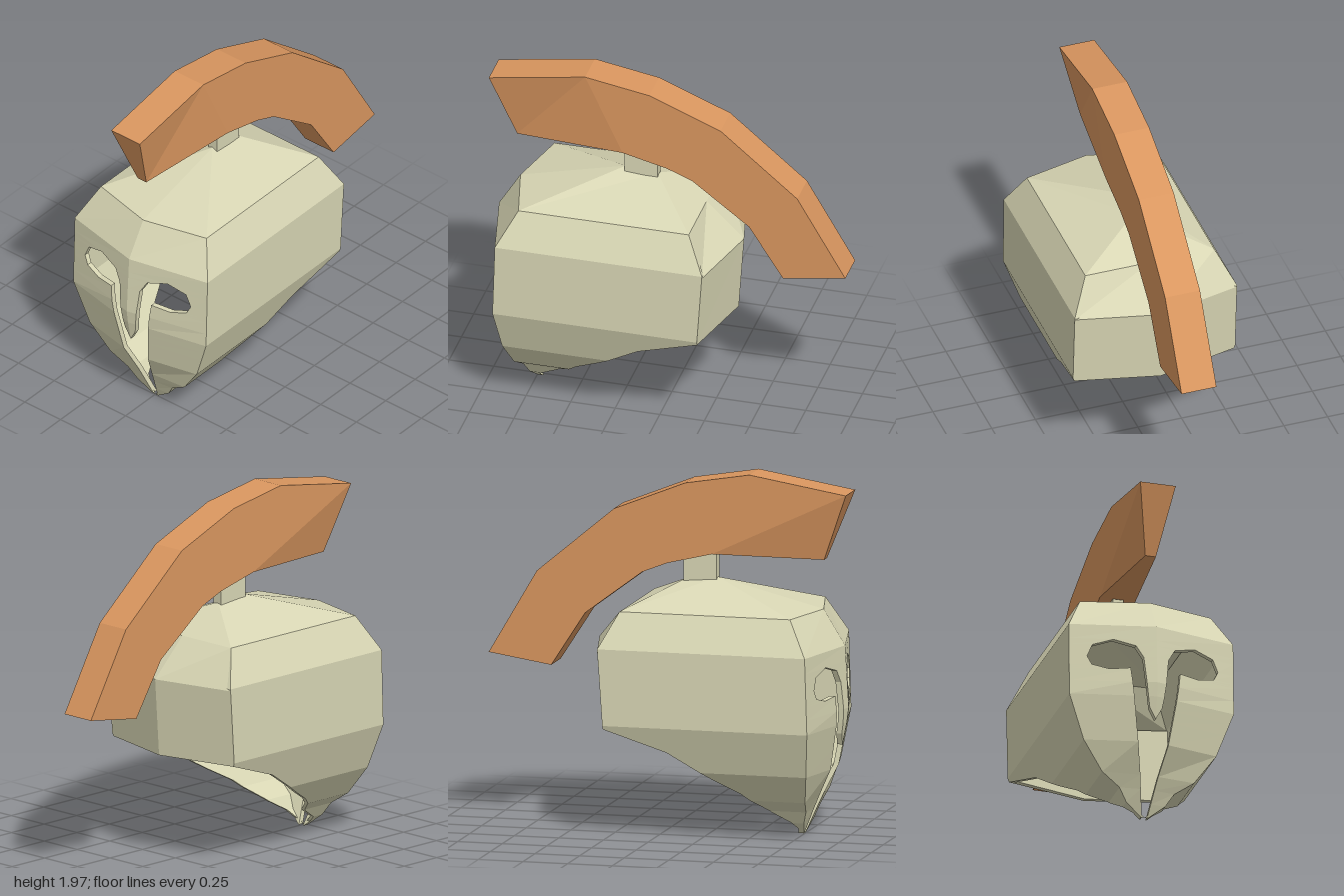
import * as THREE from 'three';

const shellMat = new THREE.MeshStandardMaterial({ color: 0xd8d6b4, flatShading: true, side: THREE.DoubleSide });
const crestMat = new THREE.MeshStandardMaterial({ color: 0xd9965f, flatShading: true, side: THREE.DoubleSide });

// Piecewise linear lookup over [y, value] pairs sorted by rising y
function lookup(table, y) {
  if (y <= table[0][0]) return table[0][1];
  for (let i = 1; i < table.length; i++) {
    const [y0, a] = table[i - 1], [y1, b] = table[i];
    if (y <= y1) return a + (b - a) * (y - y0) / (y1 - y0);
  }
  return table[table.length - 1][1];
}

// Gathers triangles; mirrored quads keep their outward winding
class Faces {
  constructor() { this.pos = []; }
  tri(a, b, c) {
    const [A, B, C] = [a, b, c].map(p => new THREE.Vector3(...p));
    if (B.sub(A).cross(C.sub(A)).length() > 1e-7) this.pos.push(...a, ...b, ...c);
  }
  quad(a, b, c, d) { this.tri(a, b, c); this.tri(a, c, d); }
  both(a, b, c, d = a) {
    this.quad(a, b, c, d);
    const m = p => [-p[0], p[1], p[2]];
    this.quad(m(d), m(c), m(b), m(a));
  }
  mesh(name, mat) {
    const g = new THREE.BufferGeometry();
    g.setAttribute('position', new THREE.Float32BufferAttribute(this.pos, 3));
    g.computeVertexNormals();
    const mesh = new THREE.Mesh(g, mat);
    mesh.name = name;
    return mesh;
  }
}

// Helmet section by height: half width, front z on the centre line, front z at the corner
const halfWidth = [[0, 0.02], [0.07, 0.11], [0.14, 0.155], [0.21, 0.26], [0.37, 0.375], [0.62, 0.465], [1.04, 0.465], [1.235, 0.37]];
const centreZ = [[0, 0.745], [0.21, 0.84], [0.37, 0.93], [0.62, 0.98], [0.7, 0.99], [1.04, 0.97], [1.235, 0.85]];
const cornerZ = [[0, 0.745], [0.21, 0.815], [0.37, 0.85], [0.62, 0.88], [1.04, 0.867], [1.235, 0.76]];
const rows = [...halfWidth, ...centreZ].map(r => r[0]);

// Slices a flat outline at every level and bends it into a thick mirrored sheet
function sheet(name, outline, outer, inner) {
  const f = new Faces();
  const levels = [...new Set([...rows, ...outline.map(p => p[1])])].sort((a, b) => a - b);
  const edges = outline.map((p, i) => [p, outline[(i + 1) % outline.length]]);
  for (let k = 0; k < levels.length - 1; k++) {
    const lo = levels[k], hi = levels[k + 1], mid = (lo + hi) / 2;
    const at = ([p, q], y) => p[0] + (q[0] - p[0]) * (y - p[1]) / (q[1] - p[1]);
    const cross = edges.filter(([p, q]) => (p[1] < mid) !== (q[1] < mid))
      .sort((e, g) => at(e, mid) - at(g, mid));
    for (let i = 0; i + 1 < cross.length; i += 2) {
      const c = [[at(cross[i], lo), lo], [at(cross[i + 1], lo), lo],
        [at(cross[i + 1], hi), hi], [at(cross[i], hi), hi]];
      const o = c.map(p => outer(...p)), n = c.map(p => inner(...p));
      f.both(...o);
      f.both(n[3], n[2], n[1], n[0]);
      f.both(o[0], o[3], n[3], n[0]);
      f.both(o[1], n[1], n[2], o[2]);
    }
  }
  return f.mesh(name, shellMat);
}

function makeFace() {
  // Half outline: nose guard, eye opening, cheek edge, outer corner
  const outline = [
    [0, 1.235], [0, 0.495], [0.035, 0.56], [0.045, 0.62], [0.055, 0.7], [0.07, 0.85], [0.11, 0.92], [0.23, 0.955],
    [0.34, 0.92], [0.37, 0.85], [0.345, 0.8], [0.25, 0.775], [0.14, 0.785], [0.13, 0.7], [0.12, 0.62],
    [0.085, 0.37], [0.05, 0.21], [0.015, 0], [0.02, 0], [0.11, 0.07], [0.155, 0.14], [0.26, 0.21],
    [0.375, 0.37], [0.465, 0.62], [0.465, 1.04], [0.37, 1.235]
  ];
  const z = (x, y) => {
    const c = lookup(centreZ, y);
    return c - (c - lookup(cornerZ, y)) * x / lookup(halfWidth, y);
  };
  return sheet('faceGuard', outline, (x, y) => [x, y, z(x, y)], (x, y) => [x, y, z(x, y) - 0.03]);
}

function makeSides() {
  // Outline in (-z, y) with the lower edge sweeping back from the cheek tip
  const outline = [
    ...cornerZ.map(([y, z]) => [z, y]).reverse(),
    [0.7, 0.07], [0.6, 0.13], [0.46, 0.25], [0.32, 0.33], [0.08, 0.48], [-0.265, 0.6],
    [-0.295, 1.04], [-0.195, 1.235]
  ].map(([z, y]) => [-z, y]);
  return sheet('cheekSides', outline,
    (u, y) => [lookup(halfWidth, y), y, -u],
    (u, y) => [Math.max(0, lookup(halfWidth, y) - 0.025), y, -u]);
}

function makeRoof() {
  const f = new Faces();
  const front = [0, 1.235, 0.85], corner = [0.37, 1.235, 0.76], rear = [0.37, 1.235, -0.195];
  const peakF = [0, 1.385, 0.26], peakB = [0, 1.37, 0.08], back = [0, 1.235, -0.195];
  f.both(front, corner, peakF);
  f.both(corner, rear, peakB, peakF);
  f.both(rear, back, peakB);
  return f.mesh('roof', shellMat);
}

function makeBack() {
  const f = new Faces();
  // Rows of [y, half width, corner z, centre z]
  const r = [[0.6, 0.458, -0.265, -0.375], [1.03, 0.465, -0.295, -0.405], [1.235, 0.37, -0.195, -0.195]];
  const corner = (q, t) => [q[1] - t, q[0], q[2] + t], centre = (q, t) => [0, q[0], q[3] + t];
  for (let i = 0; i < 2; i++) {
    f.both(corner(r[i], 0), centre(r[i], 0), centre(r[i + 1], 0), corner(r[i + 1], 0));
  }
  // Inner wall and lower rim of the neck guard
  const t = 0.025;
  f.both(corner(r[1], t), centre(r[1], t), centre(r[0], t), corner(r[0], t));
  f.both(corner(r[0], 0), corner(r[0], t), centre(r[0], t), centre(r[0], 0));
  return f.mesh('neckGuard', shellMat);
}

function makeCrest() {
  // Sections along the arch: outer [z, y], inner [z, y], inner half width
  const sections = [
    [[1, 1.88], [0.86, 1.51], 0.03], [[0.46, 1.97], [0.25, 1.525], 0.1], [[0.1, 1.91], [0, 1.465], 0.1],
    [[-0.3, 1.75], [-0.14, 1.41], 0.1], [[-0.73, 1.39], [-0.46, 1.17], 0.1], [[-1, 0.93], [-0.65, 0.875], 0.1]
  ].map(([o, n, w]) => [[0.1, o[1], o[0]], [-0.1, o[1], o[0]], [-w, n[1], n[0]], [w, n[1], n[0]]]);
  const f = new Faces();
  for (let i = 0; i < sections.length - 1; i++) {
    const a = sections[i], b = sections[i + 1];
    for (let j = 0; j < 4; j++) {
      const k = (j + 1) % 4;
      f.quad(a[j], b[j], b[k], a[k]);
    }
  }
  f.quad(...sections[0]);
  f.quad(...[...sections[5]].reverse());
  return f.mesh('crest', crestMat);
}

export function createModel() {
  const model = new THREE.Group();
  model.name = 'crestedHelmet';
  model.add(makeFace(), makeSides(), makeRoof(), makeBack(), makeCrest());
  // Post joining the crest to the roof
  const post = new THREE.Mesh(new THREE.BoxGeometry(0.06, 0.16, 0.185), shellMat);
  post.position.set(0, 1.44, 0.165);
  post.name = 'crestPost';
  model.add(post);
  return model;
}
